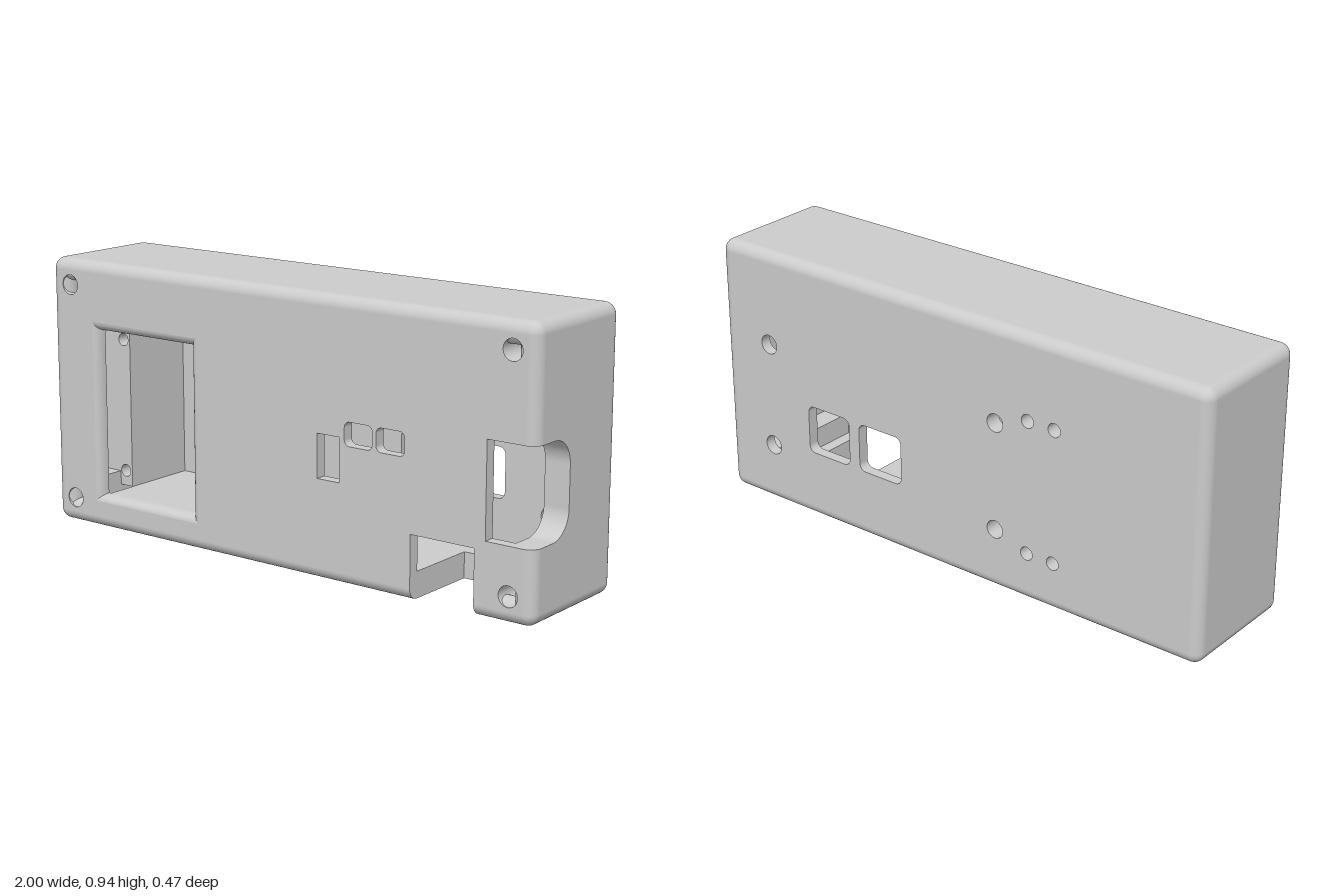
import * as THREE from 'three';

const R = 0.04, H = 0.945, D = 0.235, ZI = D - R; // edge radius, height, half depth, inner face
const mat = new THREE.MeshStandardMaterial({ color: 0xcccccc, side: THREE.DoubleSide });

function poly(points) {
  return new THREE.Shape(points.map(([x, y]) => new THREE.Vector2(x, y)));
}
function roundRect(x0, x1, y0, y1, r) {
  const s = new THREE.Shape();
  s.absarc(x1 - r, y0 + r, r, -Math.PI / 2, 0);
  s.absarc(x1 - r, y1 - r, r, 0, Math.PI / 2);
  s.absarc(x0 + r, y1 - r, r, Math.PI / 2, Math.PI);
  s.absarc(x0 + r, y0 + r, r, Math.PI, Math.PI * 1.5);
  s.closePath();
  return s;
}
const rect = (x0, x1, y0, y1) => poly([[x0, y0], [x1, y0], [x1, y1], [x0, y1]]);
const circle = (x, y, r) => new THREE.Shape().absarc(x, y, r, 0, Math.PI * 2);
function slab(shape, depth, holes = []) {
  shape.holes = holes;
  return new THREE.ExtrudeGeometry(shape, { depth, bevelEnabled: false, curveSegments: 16 });
}

// Side wall in (-z, y), with an optional round-cornered connector notch
function sideShape(y0, y1, notched) {
  if (!notched) return rect(-ZI, ZI, y0, y1);
  const s = poly([[-ZI, y0], [ZI, y0], [ZI, y1], [-ZI, y1], [-ZI, 0.57]]);
  s.lineTo(-0.13, 0.57);
  s.absarc(-0.13, 0.48, 0.09, Math.PI / 2, 0, true);
  s.absarc(-0.13, 0.34, 0.09, 0, -Math.PI / 2, true);
  s.lineTo(-ZI, 0.25);
  return s;
}

// Rounded rim sloping into the display window
function windowRim(outer, inner) {
  const corners = ([x0, x1, y0, y1]) => [[x0, y0], [x1, y0], [x1, y1], [x0, y1]];
  const o = corners(outer), n = corners(inner), pos = [], idx = [], steps = 6;
  for (let side = 0; side < 4; side++) {
    const base = pos.length / 3;
    for (let i = 0; i <= steps; i++) {
      const a = (i / steps) * Math.PI / 2, t = Math.sin(a);
      for (const c of [side, (side + 1) % 4]) {
        pos.push(o[c][0] + (n[c][0] - o[c][0]) * t, o[c][1] + (n[c][1] - o[c][1]) * t, D - R * (1 - Math.cos(a)));
      }
      if (i < steps) {
        const k = base + i * 2;
        idx.push(k, k + 1, k + 3, k, k + 3, k + 2);
      }
    }
  }
  const g = new THREE.BufferGeometry();
  g.setAttribute('position', new THREE.Float32BufferAttribute(pos, 3));
  g.setIndex(idx);
  g.computeVertexNormals();
  return g;
}

export function createModel() {
  const group = new THREE.Group();
  group.name = 'enclosure';
  const add = (name, geo, x = 0, y = 0, z = 0) => {
    const m = new THREE.Mesh(geo, mat);
    m.name = name;
    m.position.set(x, y, z);
    group.add(m);
  };
  const box = (name, x0, x1, y0, y1, z0, z1) =>
    add(name, new THREE.BoxGeometry(x1 - x0, y1 - y0, z1 - z0), (x0 + x1) / 2, (y0 + y1) / 2, (z0 + z1) / 2);

  // Front panel with display, button, slot and screw openings
  const top = H - R, end = 1 - R;
  const screws = [];
  for (const x of [-0.91, 0.91]) for (const y of [0.09, 0.855]) screws.push([x, y]);
  const front = poly([[-end, R], [0.545, R], [0.545, 0.22], [0.785, 0.22], [0.785, R], [end, R],
    [end, 0.25], [0.825, 0.25], [0.825, 0.57], [end, 0.57], [end, top], [-end, top]]);
  const rimOuter = [-0.81, -0.335, 0.095, 0.735], rimInner = [-0.785, -0.365, 0.12, 0.705];
  add('frontPanel', slab(front, R, [
    rect(...rimOuter), rect(0.175, 0.265, 0.34, 0.49),
    roundRect(0.285, 0.395, 0.465, 0.545, 0.02), roundRect(0.41, 0.52, 0.465, 0.545, 0.02),
    ...screws.map(([x, y]) => circle(x, y, 0.035)),
  ]), 0, 0, ZI);
  add('windowRim', windowRim(rimOuter, rimInner));

  // Back panel with two ports and mounting holes
  const padHoles = () => [0.175, 0.65].flatMap(y => [circle(-0.435, y, 0.024), circle(-0.33, y, 0.024)])
    .concat([0.22, 0.605].map(y => circle(-0.2, y, 0.032)));
  add('backPanel', slab(rect(-end, end, R, top), R, [
    roundRect(0.2, 0.385, 0.25, 0.425, 0.025), roundRect(0.43, 0.615, 0.25, 0.425, 0.025),
    ...[0.22, 0.605].map(y => circle(0.79, y, 0.035)), ...padHoles(),
  ]), 0, 0, -D);
  add('backPad', slab(roundRect(-0.52, -0.14, 0.13, 0.7, 0.04), 0.02, padHoles()), 0, 0, -ZI);

  // Walls in two layers; the inner layer stops short of the corner posts
  const layers = [{ off: 0, t: 0.05, inset: R }, { off: 0.05, t: 0.04, inset: 0.17 }];
  for (const { off, t, inset } of layers) {
    for (const s of [-1, 1]) {
      const g = slab(sideShape(inset, H - inset, s > 0), t).rotateY(Math.PI / 2);
      add(s > 0 ? 'leftWall' : 'rightWall', g, s > 0 ? 1 - off - t : -1 + off, 0, 0);
    }
    const e = 1 - inset;
    const floor = poly([[-e, -ZI], [e, -ZI], [e, ZI], [0.785, ZI], [0.785, -0.07],
      [0.545, -0.07], [0.545, ZI], [-e, ZI]]);
    add('bottomWall', slab(floor, t).rotateX(Math.PI / 2), 0, off + t, 0);
    box('topWall', -e, e, H - off - t, H - off, -ZI, ZI);
  }

  // Corner screw posts
  for (const [x, y] of screws) {
    const x0 = x > 0 ? 0.83 : -0.95, y0 = y > 0.5 ? H - 0.17 : 0.05;
    add('screwPost', slab(rect(x0, x0 + 0.12, y0, y0 + 0.12), 2 * ZI, [circle(x, y, 0.035)]), 0, 0, -ZI);
  }

  // Display pocket: drilled ledge, floor and ceiling
  add('displayLedge', slab(rect(-0.91, -0.775, 0.12, 0.705), 0.28,
    [0.175, 0.65].map(y => circle(-0.805, y, 0.022))), 0, 0, -ZI);
  box('pocketFloor', -0.775, -0.335, 0.085, 0.12, -ZI, ZI);
  box('pocketCeiling', -0.775, -0.335, 0.705, 0.86, -ZI, ZI);

  // Rounded edges, interrupted by the notches
  const edge = (axis, a, b, p, q) => {
    const g = new THREE.CylinderGeometry(R, R, b - a, 32), m = (a + b) / 2;
    if (axis === 'x') add('roundedEdge', g.rotateZ(Math.PI / 2), m, p, q);
    else if (axis === 'y') add('roundedEdge', g, p, m, q);
    else add('roundedEdge', g.rotateX(Math.PI / 2), p, q, m);
  };
  for (const x of [-end, end]) {
    for (const y of [R, top]) {
      edge('z', -ZI, ZI, x, y);
      for (const z of [-ZI, ZI]) add('roundedCorner', new THREE.SphereGeometry(R, 32, 16), x, y, z);
    }
    edge('y', R, top, x, -ZI);
  }
  edge('y', R, top, -end, ZI);
  edge('y', R, 0.25, end, ZI);
  edge('y', 0.57, top, end, ZI);
  for (const [y, z] of [[R, -ZI], [top, -ZI], [top, ZI]]) edge('x', -end, end, y, z);
  edge('x', -end, 0.545, R, ZI);
  edge('x', 0.785, end, R, ZI);
  return group;
}
